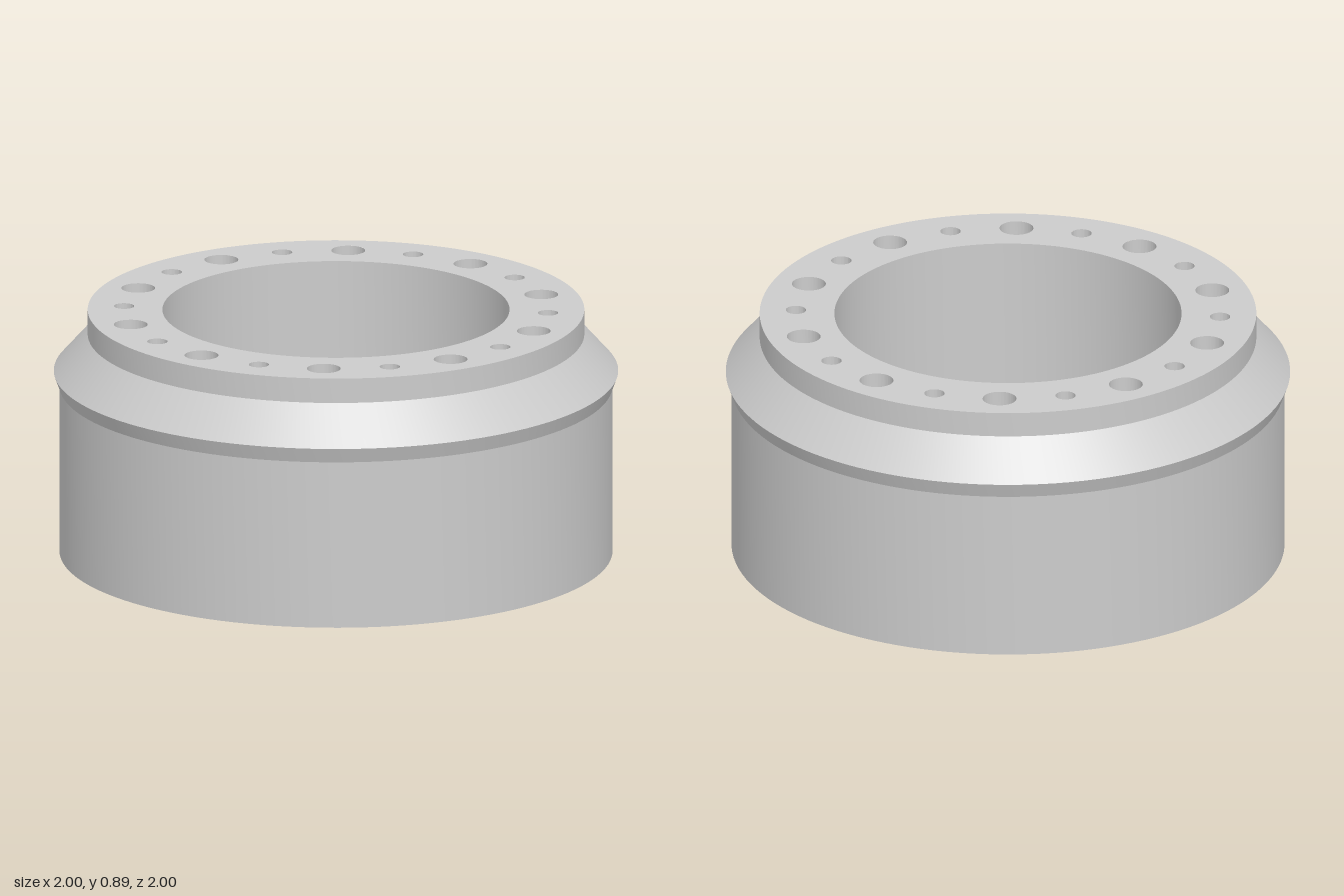
import * as THREE from 'three';
import { toCreasedNormals } from 'three/addons/utils/BufferGeometryUtils.js';

const TOP = 0.89, RIM = 0.88, BORE = 0.615;
const HOLE_CIRCLE = 0.752, HOLE_PAIRS = 10;

export function createModel() {
  const group = new THREE.Group();
  const material = new THREE.MeshStandardMaterial({ color: 0xcccccc });

  const add = (geometry, name) => {
    const mesh = new THREE.Mesh(geometry, material);
    mesh.name = name;
    group.add(mesh);
    return mesh;
  };
  const lathe = (points, segments) => toCreasedNormals(
    new THREE.LatheGeometry(points.map(([r, y]) => new THREE.Vector2(r, y)), segments), 0.28);

  // Drum: down the stepped bore, across the underside, up the flared outside
  add(lathe([
    [BORE, TOP], [BORE, 0.243], [0.468, 0.243], [0.468, 0.13], [0.49, 0.13], [0.49, 0],
    [0.98, 0], [0.98, 0.61], [1, 0.665], [RIM, 0.8], [RIM, TOP],
  ], 128), 'drumBody');

  // Top flange with alternating large and small blind holes
  const flange = new THREE.Shape().absarc(0, 0, RIM, 0, Math.PI * 2);
  const cut = (x, y, r) => flange.holes.push(new THREE.Path().absarc(x, y, r, 0, Math.PI * 2, true));
  cut(0, 0, BORE);

  const holeTypes = [
    { name: 'largeHole', radius: 0.06, depth: 0.2 },
    { name: 'smallHole', radius: 0.036, depth: 0.14 },
  ].map((h) => ({
    ...h,
    geometry: lathe([[h.radius, 0], [h.radius, -h.depth], [0, -h.depth]], 64),
  }));

  for (let i = 0; i < HOLE_PAIRS * 2; i++) {
    const hole = holeTypes[i % 2];
    const angle = (i * Math.PI) / HOLE_PAIRS;
    const x = HOLE_CIRCLE * Math.cos(angle), z = HOLE_CIRCLE * Math.sin(angle);
    cut(x, -z, hole.radius);
    add(hole.geometry, hole.name).position.set(x, TOP, z);
  }

  const face = new THREE.ShapeGeometry(flange, 64).rotateX(-Math.PI / 2);
  add(face, 'topFlange').position.y = TOP;

  return group;
}
